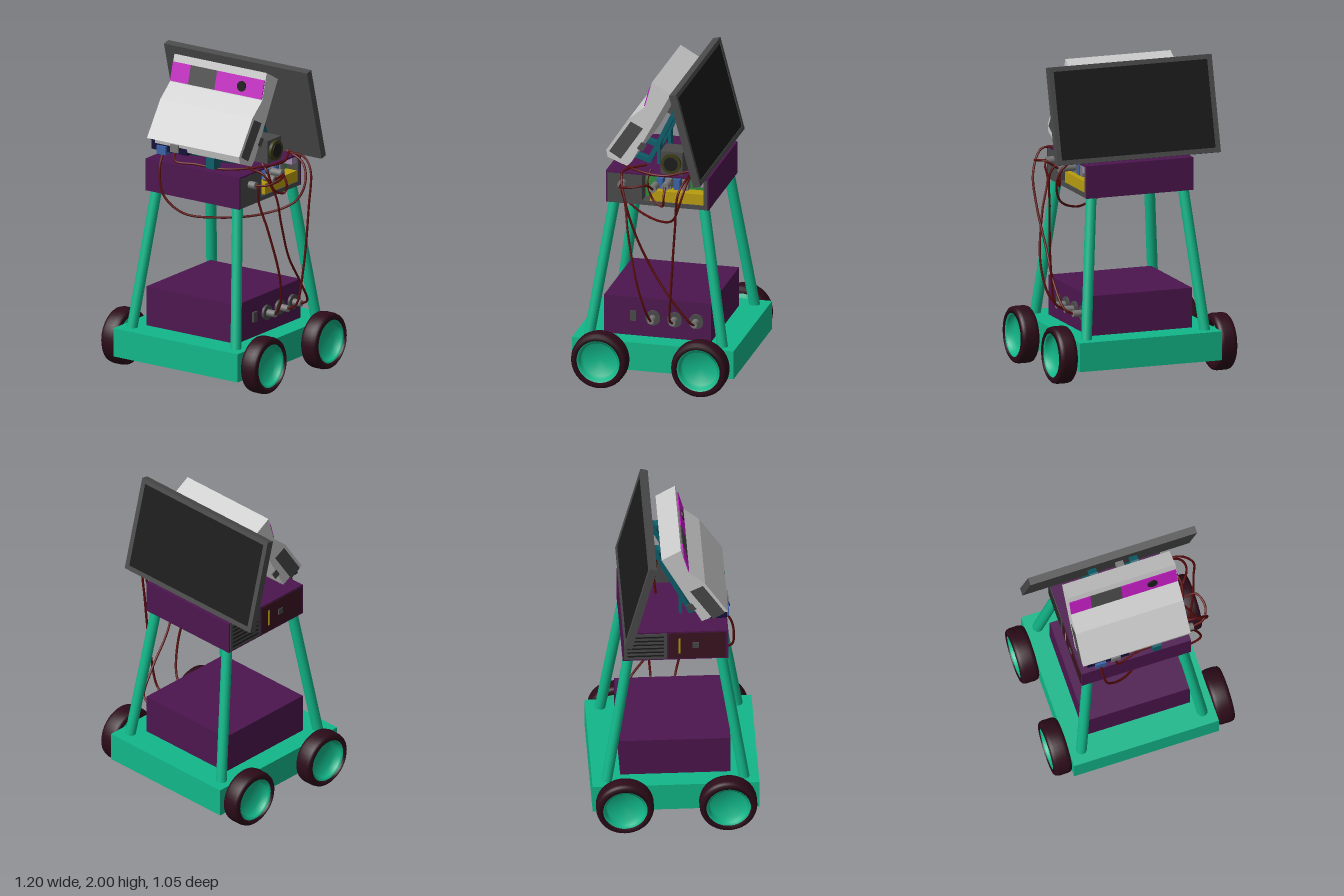
import * as THREE from 'three';

const mat = (c, o = {}) => new THREE.MeshStandardMaterial({ color: c, ...o });
const M = {
  green: mat(0x12b88a), purple: mat(0x4d164f), tyre: mat(0x2c0b18), light: mat(0xcccccc),
  grey: mat(0x4a4a4a), mid: mat(0x777777), black: mat(0x1a1a1a), magenta: mat(0xc01cc0),
  teal: mat(0x0d5f6b), cable: mat(0x5a0c0c), yellow: mat(0xb89c10), board: mat(0x2f8a3c),
  blue: mat(0x3a62a8), navy: mat(0x14103a), olive: mat(0x3a3a14), lilac: mat(0xa58bb0), brown: mat(0x3a1420),
};
const V = (a) => new THREE.Vector3(...a);

export function createModel() {
  const root = new THREE.Group();
  const add = (name, geo, m, parent = root) => {
    const mesh = new THREE.Mesh(geo, m);
    mesh.name = name;
    parent.add(mesh);
    return mesh;
  };
  // box given by its min/max along each axis
  const box = (name, m, x0, x1, y0, y1, z0, z1, parent = root) => {
    const b = add(name, new THREE.BoxGeometry(x1 - x0, y1 - y0, z1 - z0), m, parent);
    b.position.set((x0 + x1) / 2, (y0 + y1) / 2, (z0 + z1) / 2);
    return b;
  };
  // cylinder between two points
  const rod = (name, m, a, b, r, seg = 20) => {
    const p = V(a), q = V(b), d = q.clone().sub(p);
    const c = add(name, new THREE.CylinderGeometry(r, r, d.length(), seg), m);
    c.position.copy(p).add(q).multiplyScalar(0.5);
    c.quaternion.setFromUnitVectors(new THREE.Vector3(0, 1, 0), d.normalize());
    return c;
  };
  // rectangular bar in a plane of constant x, from (z, y) to (z, y)
  const bar = (name, m, x, [z0, y0], [z1, y1], w, t) => {
    const b = add(name, new THREE.BoxGeometry(w, t, Math.hypot(z1 - z0, y1 - y0)), m);
    b.position.set(x, (y0 + y1) / 2, (z0 + z1) / 2);
    b.rotation.x = -Math.atan2(y1 - y0, z1 - z0);
    return b;
  };
  // (z, y) outline extruded along x, centred on x
  const slab = (name, m, pts, x, w) => {
    const g = new THREE.ExtrudeGeometry(new THREE.Shape(pts.map((p) => new THREE.Vector2(...p))), { depth: w, bevelEnabled: false });
    g.translate(0, 0, -w / 2).rotateY(-Math.PI / 2);
    const s = add(name, g, m);
    s.position.x = x;
    return s;
  };
  const cable = (pts, r = 0.0075) =>
    add('cable', new THREE.TubeGeometry(new THREE.CatmullRomCurve3(pts.map(V)), 64, r, 8), M.cable);

  // Chassis, lower box
  box('chassis', M.green, -0.48, 0.48, 0.105, 0.29, -0.525, 0.525);
  box('lowerBox', M.purple, -0.35, 0.345, 0.29, 0.545, -0.345, 0.35);

  // Wheels: rounded tyre with a dished green hub
  const tyrePts = [[0.14, 0], [0.165, 0], [0.177, 0.01], [0.182, 0.03], [0.182, 0.087], [0.177, 0.107], [0.165, 0.117], [0.14, 0.117], [0.14, 0]];
  const hubPts = [[0, 0.055], [0.115, 0.055], [0.122, 0.105], [0.141, 0.112]];
  const lathe = (p, seg = 40) => new THREE.LatheGeometry(p.map((q) => new THREE.Vector2(...q)), seg);
  for (const s of [1, -1]) for (const z of [0.325, -0.325]) {
    const wheel = new THREE.Group();
    wheel.name = 'wheel';
    add('tyre', lathe(tyrePts), mat(0x2c0b18, { side: THREE.DoubleSide }), wheel);
    add('hub', lathe(hubPts), mat(0x12b88a, { side: THREE.DoubleSide }), wheel);
    wheel.position.set(s * 0.481, 0.182, z);
    wheel.rotation.z = -s * Math.PI / 2;
    root.add(wheel);
  }

  // Splayed legs
  for (const s of [1, -1]) for (const t of [1, -1])
    rod('leg', M.green, [s * 0.402, 0.27, t * 0.435], [s * 0.311, 1.18, t * 0.29], 0.034);

  // Sockets and switch on the lower box
  const sockets = [0.03, -0.11, -0.25];
  for (const z of sockets) {
    rod('socket', M.grey, [0.34, 0.42, z], [0.362, 0.42, z], 0.048, 24);
    rod('plug', M.mid, [0.36, 0.42, z], [0.42, 0.42, z], 0.022, 12);
  }
  box('switch', M.grey, 0.34, 0.36, 0.39, 0.455, 0.14, 0.18);

  // Upper box with an open bay on the left end
  box('upperBox', M.purple, -0.365, 0.24, 1.17, 1.38, -0.33, 0.335);
  box('upperBoxLid', M.purple, 0.24, 0.358, 1.368, 1.38, -0.33, 0.335);
  box('upperBoxFront', M.purple, 0.24, 0.358, 1.17, 1.38, 0.325, 0.336);
  box('upperBoxBack', M.purple, 0.24, 0.358, 1.17, 1.38, -0.331, -0.32);
  box('endPanel', M.grey, 0.24, 0.36, 1.172, 1.368, 0.1, 0.325);
  box('baySill', M.grey, 0.24, 0.36, 1.172, 1.2, -0.32, 0.1);
  box('bayPost', M.grey, 0.24, 0.36, 1.2, 1.368, -0.32, -0.297);
  box('circuitBoard', M.board, 0.24, 0.27, 1.2, 1.368, -0.297, 0.1);
  box('battery', M.yellow, 0.25, 0.352, 1.2, 1.27, -0.295, 0.05);
  box('lilacModule', M.lilac, 0.25, 0.35, 1.32, 1.368, -0.295, -0.245);
  for (let i = 0; i < 4; i++)
    box('boardModule', i % 2 ? M.blue : M.mid, 0.26, 0.33, 1.28, 1.345, -0.19 + i * 0.055, -0.15 + i * 0.055);
  // Vent, slot and knob on the other end
  box('sidePanel', M.brown, -0.369, -0.36, 1.18, 1.37, -0.04, 0.32);
  box('ventPanel', M.grey, -0.369, -0.36, 1.18, 1.37, -0.32, -0.05);
  for (let i = 0; i < 6; i++)
    box('ventSlot', M.black, -0.371, -0.365, 1.2 + i * 0.028, 1.21 + i * 0.028, -0.3, -0.07);
  box('slot', M.yellow, -0.371, -0.365, 1.22, 1.33, 0.02, 0.035);
  box('sideButton', M.grey, -0.374, -0.36, 1.26, 1.3, 0.11, 0.15);
  box('underHatch', M.brown, -0.16, 0.16, 1.166, 1.175, -0.12, 0.12);

  // Tilted display facing the back
  const display = new THREE.Group();
  display.name = 'display';
  box('displayCase', M.grey, -0.552, 0.552, -0.31, 0.31, -0.018, 0.024, display);
  for (const s of [1, -1]) {
    box('bezelSide', M.grey, s * 0.536 - 0.016, s * 0.536 + 0.016, -0.31, 0.31, -0.024, -0.018, display);
    box('bezelEdge', M.grey, -0.52, 0.52, s * 0.295 - 0.015, s * 0.295 + 0.015, -0.024, -0.018, display);
  }
  box('screen', M.black, -0.52, 0.52, -0.28, 0.28, -0.02, -0.016, display);
  display.position.set(0, 1.692, -0.226);
  display.rotation.x = 0.258;
  root.add(display);

  // Stand frames
  for (const x of [-0.137, 0.135]) {
    bar('standFoot', M.teal, x, [0.29, 1.455], [0.1, 1.392], 0.055, 0.026);
    bar('standFrontBar', M.teal, x, [0.11, 1.39], [-0.115, 1.85], 0.055, 0.03);
    bar('standBackBar', M.teal, x, [-0.1, 1.87], [-0.265, 1.39], 0.055, 0.03);
    bar('standTop', M.teal, x, [-0.06, 1.875], [-0.15, 1.83], 0.055, 0.025);
    box('standPost', M.teal, x - 0.027, x + 0.027, 1.38, 1.52, 0.035, 0.055);
  }

  // Scanner head with overhanging hood
  slab('scannerHead', M.light, [[0.037, 1.995], [-0.085, 1.925], [0.17, 1.45], [0.295, 1.515], [0.335, 1.515], [0.19, 1.735], [0.085, 1.825]], 0, 0.712);
  slab('scannerBase', M.light, [[0.17, 1.45], [0.2, 1.42], [0.325, 1.47], [0.335, 1.515], [0.295, 1.515]], 0.03, 0.65);
  for (const s of [1, -1]) {
    slab('sideOpening', M.grey, [[0.175, 1.72], [0.095, 1.68], [0.24, 1.465], [0.315, 1.51]], s * 0.354, 0.008);
    slab('sidePort', M.grey, [[0.105, 1.59], [0.07, 1.57], [0.1, 1.525], [0.135, 1.545]], s * 0.354, 0.008);
  }
  // Front band: panels and lens
  const band = (name, m, x0, x1) =>
    bar(name, m, (x0 + x1) / 2, [0.051, 1.948], [0.084, 1.83], x1 - x0, 0.012);
  band('bandPanel', M.magenta, -0.353, -0.215);
  band('bandWindow', M.grey, -0.215, -0.012);
  band('bandPanel', M.magenta, -0.012, 0.353);
  rod('lens', M.black, [0.19, 1.885, 0.06], [0.19, 1.888, 0.08], 0.033, 24);

  // Ports under the head
  box('portBlock', M.navy, -0.325, -0.05, 1.45, 1.515, 0.2, 0.33);
  box('bluePlug', M.blue, -0.275, -0.205, 1.43, 1.485, 0.29, 0.345);
  box('greyPlug', M.mid, -0.17, -0.11, 1.46, 1.51, 0.29, 0.345);
  box('tealPlug', M.teal, 0.105, 0.165, 1.4, 1.47, 0.27, 0.34);

  // Camera beside the stand
  box('cameraBody', M.grey, 0.18, 0.33, 1.38, 1.53, -0.155, -0.01);
  rod('cameraRing', M.olive, [0.32, 1.455, -0.083], [0.35, 1.455, -0.083], 0.064, 28);
  rod('cameraLens', M.black, [0.33, 1.455, -0.083], [0.353, 1.455, -0.083], 0.045, 28);

  // Plugs on the upper box end
  for (const [y, z] of [[1.31, 0.225], [1.3, 0.02], [1.32, -0.06]])
    rod('endPlug', M.mid, [0.33, y, z], [0.41, y, z], 0.024, 12);

  // Cables
  cable([[-0.24, 1.44, 0.32], [-0.235, 1.35, 0.365], [-0.2, 1.18, 0.375], [-0.08, 1.07, 0.33], [0.1, 1.04, 0.2], [0.3, 1.05, 0], [0.46, 1.13, -0.13], [0.5, 1.25, -0.18], [0.46, 1.36, -0.21], [0.33, 1.42, -0.22]]);
  cable([[0.42, 0.42, 0.03], [0.47, 0.5, 0.05], [0.5, 0.7, 0.1], [0.46, 1, 0.165], [0.41, 1.2, 0.2], [0.42, 1.29, 0.22], [0.4, 1.31, 0.225]]);
  cable([[0.42, 0.42, -0.11], [0.48, 0.46, -0.11], [0.52, 0.7, -0.13], [0.54, 1.1, -0.16], [0.54, 1.33, -0.18], [0.47, 1.4, -0.21], [0.33, 1.41, -0.22]]);
  cable([[0.42, 0.42, -0.25], [0.47, 0.45, -0.24], [0.5, 0.6, -0.13], [0.5, 0.8, 0], [0.52, 1.05, 0.11], [0.52, 1.25, 0.17], [0.45, 1.39, 0.21], [0.36, 1.4, 0.2], [0.25, 1.4, 0.1]]);
  cable([[0.41, 1.31, 0.225], [0.48, 1.32, 0.21], [0.52, 1.34, 0.13], [0.49, 1.35, 0.04], [0.41, 1.3, 0.02]]);
  cable([[0.41, 1.32, -0.06], [0.44, 1.26, -0.06], [0.43, 1.2, -0.05], [0.4, 1.23, 0.02], [0.38, 1.35, 0.06], [0.33, 1.4, 0.05]]);
  cable([[0.06, 1.385, -0.1], [0.06, 1.5, -0.11], [0.06, 1.64, -0.1], [0.06, 1.68, -0.14], [0.06, 1.67, -0.2]]);
  cable([[-0.14, 1.48, 0.33], [-0.13, 1.41, 0.35], [0, 1.4, 0.31], [0.2, 1.395, 0.28], [0.35, 1.4, 0.15], [0.42, 1.4, -0.05], [0.36, 1.42, -0.2]]);
  box('displayPlug', M.mid, 0.035, 0.085, 1.64, 1.7, -0.2, -0.16);

  return root;
}
